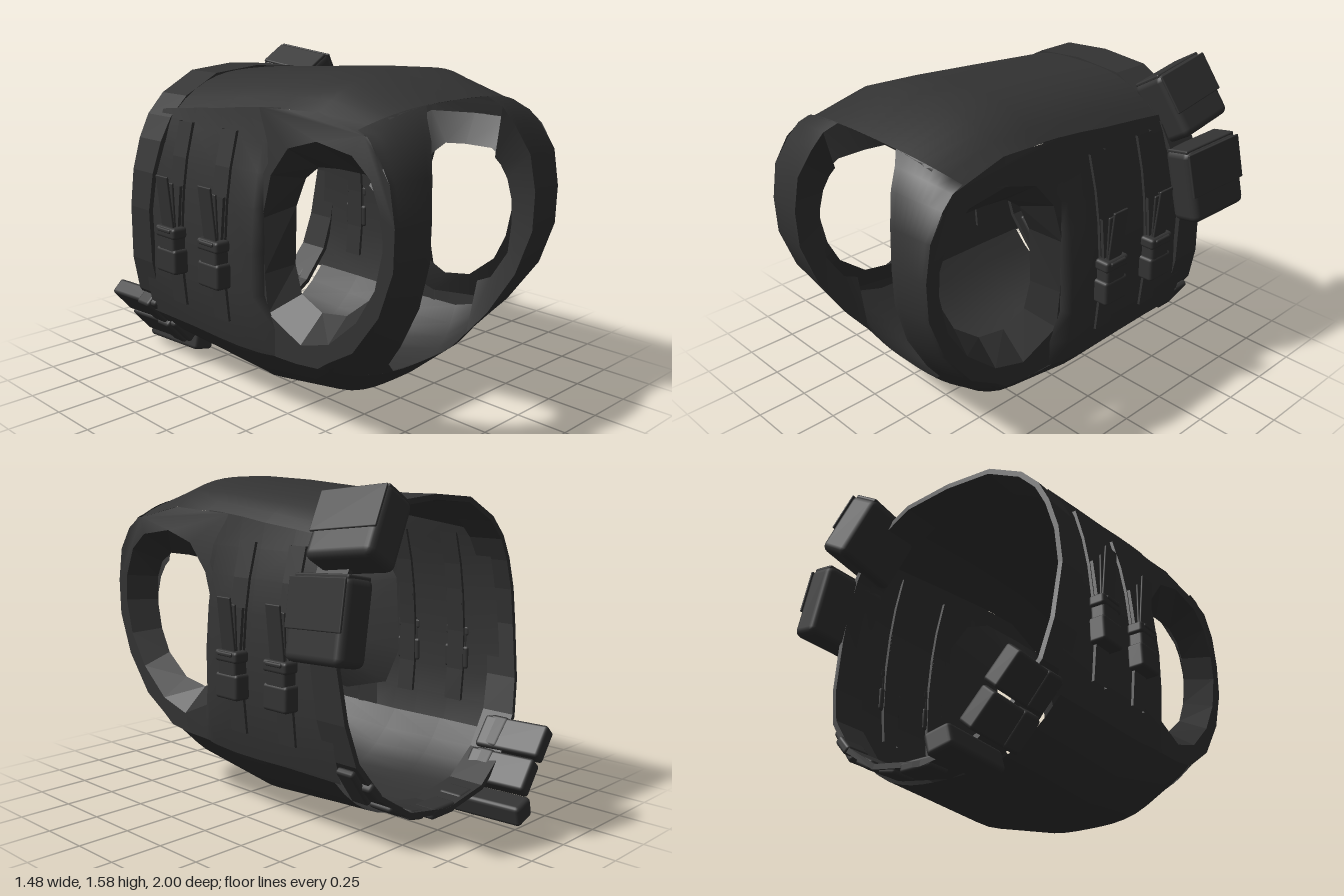
import * as THREE from 'three';
import { RoundedBoxGeometry } from 'three/addons/geometries/RoundedBoxGeometry.js';

const V = (x, y, z) => new THREE.Vector3(x, y, z);

// Surface through rows of points
function grid(rows, flat = false) {
  const n = rows[0].length, index = [];
  for (let r = 0; r < rows.length - 1; r++) {
    for (let c = 0; c < n - 1; c++) {
      const a = r * n + c, b = a + 1, d = a + n, e = d + 1;
      index.push(a, d, b, b, d, e);
    }
  }
  let geo = new THREE.BufferGeometry().setFromPoints(rows.flat());
  geo.setIndex(index);
  if (flat) geo = geo.toNonIndexed();
  geo.computeVertexNormals();
  return geo;
}

// Shell centre line over the shoulders: z, y, outer half width, edge drop, neck half width
const PROFILE = [
  [-0.62, 1.5, 0.5, 0.18, 0], [-0.1, 1.54, 0.5, 0.155, 0], [0.3, 1.57, 0.5, 0.14, 0],
  [0.55, 1.58, 0.51, 0.14, 0], [0.83, 1.475, 0.53, 0.1, 0], [0.83, 1.475, 0.53, 0.1, 0.2],
  [0.88, 1.43, 0.535, 0.08, 0.25], [0.93, 1.35, 0.54, 0.06, 0.28], [0.98, 1.22, 0.55, 0.03, 0.33],
  [1, 1.05, 0.55, 0.02, 0.35], [0.995, 0.87, 0.55, 0.02, 0.35], [0.93, 0.66, 0.55, 0.03, 0.33],
  [0.81, 0.45, 0.55, 0.06, 0.3], [0.72, 0.33, 0.55, 0.12, 0.27], [0.68, 0.27, 0.55, 0.15, 0.2],
  [0.68, 0.27, 0.55, 0.15, 0], [0.5, 0.12, 0.55, 0.23, 0], [0.05, 0.036, 0.56, 0.29, 0],
  [-0.3, 0.06, 0.56, 0.27, 0], [-0.59, 0.08, 0.56, 0.25, 0],
];
// Armhole outlines (z, y)
const HOLE_IN = [[0.83, 0.95], [0.82, 1.07], [0.78, 1.15], [0.7, 1.2], [0.55, 1.2], [0.43, 1.19], [0.35, 1.13],
  [0.29, 1], [0.28, 0.73], [0.32, 0.6], [0.45, 0.545], [0.6, 0.57], [0.74, 0.68], [0.8, 0.8]];
const HOLE_OUT = [[0.92, 0.95], [0.91, 1.08], [0.85, 1.22], [0.75, 1.3], [0.55, 1.33], [0.38, 1.28], [0.27, 1.15],
  [0.21, 0.95], [0.22, 0.7], [0.24, 0.52], [0.45, 0.43], [0.62, 0.48], [0.78, 0.62], [0.88, 0.78]];
// Side panel section (y, half width)
const SIDE = [[1.4, 0.502], [1.28, 0.53], [1.15, 0.565], [1, 0.59], [0.8, 0.608], [0.6, 0.608], [0.45, 0.595], [0.32, 0.563]];
// Side panel stations (z, top y, bottom y, backward lean)
const STATIONS = [[0.218, 1.435, 0.33, 0], [0.2, 1.43, 0.325, 0], [0.05, 1.415, 0.315, 0],
  [-0.1, 1.395, 0.315, 0], [-0.3, 1.375, 0.32, 0], [-0.56, 1.345, 0.32, 0.06]];
// Belt half section (half width, y)
const BELT = [[0, 1.52], [0.25, 1.5], [0.43, 1.405], [0.52, 1.31], [0.575, 1.2], [0.62, 1.05], [0.64, 0.87],
  [0.62, 0.6], [0.575, 0.42], [0.45, 0.25], [0.27, 0.13], [0, 0.085]];

function sideX(y) {
  for (let i = 0; i < SIDE.length - 1; i++) {
    const [y0, x0] = SIDE[i], [y1, x1] = SIDE[i + 1];
    if (y >= y1) return x0 + (x1 - x0) * Math.max(0, (y0 - y) / (y0 - y1));
  }
  return 0.56;
}

// Point on the shell at half width x, bent inward towards its edge
function shellPoint(i, x, side) {
  const [z, y, w, drop] = PROFILE[i];
  const p = PROFILE[Math.max(0, i - 1)], q = PROFILE[Math.min(PROFILE.length - 1, i + 1)];
  const tz = q[0] - p[0], ty = q[1] - p[1], l = Math.hypot(tz, ty);
  const d = drop * (x / w) ** 3;
  return V(side * x, y - (tz / l) * d, z + (ty / l) * d);
}

export function createModel() {
  const fabric = new THREE.MeshStandardMaterial({ color: 0x333333, side: THREE.DoubleSide });
  fabric.name = 'dark fabric';
  const root = new THREE.Group();
  const vest = new THREE.Group();
  vest.name = 'vest';
  vest.position.x = -0.05;
  root.add(vest);

  const add = (name, geo, pos, rotZ = 0, parent = vest) => {
    const m = new THREE.Mesh(geo, fabric);
    m.name = name;
    if (pos) m.position.set(...pos);
    m.rotation.z = rotZ;
    parent.add(m);
    return m;
  };
  const box = (w, h, d, r = 0.015) => new RoundedBoxGeometry(w, h, d, 2, r);

  for (const s of [1, -1]) {
    const side = s > 0 ? 'left' : 'right';

    // Top panel, shoulder strap and bottom panel in one sheet
    add(side + 'Shell', grid(PROFILE.map(([, , w, , xin], i) =>
      Array.from({ length: 9 }, (_, k) => shellPoint(i, xin + (w - xin) * k / 8, s)))));

    // Flat side wall around the armhole
    const edge = PROFILE.map((p, i) => shellPoint(i, p[2], s)).slice(2, 17).filter((p, i) => i !== 3 && i !== 13);
    const shape = new THREE.Shape([[0.15, 1.425], ...edge.map(p => [p.z, p.y]), [0.15, 0.33]].map(p => new THREE.Vector2(...p)));
    shape.holes.push(new THREE.Path(HOLE_OUT.map(p => new THREE.Vector2(...p))));
    const wall = new THREE.ShapeGeometry(shape);
    const pos = wall.attributes.position;
    for (let i = 0; i < pos.count; i++) {
      const z = pos.getX(i), y = pos.getY(i);
      const x = y > 1.34 ? (z > 0.7 ? 0.53 : 0.503) : 0.55;
      pos.setXYZ(i, s * x, y, z);
    }
    wall.computeVertexNormals();
    add(side + 'SideWall', wall);

    // Bevelled armhole rim and the lining behind it
    const loop = (pts, x) => [...pts, pts[0]].map(([z, y]) => V(s * x, y, z));
    const lining = HOLE_IN.map(([z, y]) => [0.555 + (z - 0.555) * (z > 0.555 ? 1.25 : 2.2), 0.87 + (y - 0.87) * 1.42]);
    add(side + 'ArmholeRim', grid([loop(HOLE_OUT, 0.55), loop(HOLE_IN, 0.42)], true));
    add(side + 'ArmholeLining', grid([loop(HOLE_IN, 0.42), loop(lining, 0.49)]));

    // Inner face of the shoulder strap
    const inner = [];
    for (let i = 6; i <= 13; i++) {
      const p = shellPoint(i, PROFILE[i][4], s);
      const dz = p.z - 0.555, dy = p.y - 0.87;
      const t = 1 / Math.pow((Math.abs(dz) / 0.275) ** 2.5 + (Math.abs(dy) / 0.33) ** 2.5, 0.4);
      inner.push([p, V(s * 0.42, 0.87 + dy * t, 0.555 + dz * t)]);
    }
    add(side + 'StrapLining', grid(inner));

    // Bulging side panel running from the armhole to under the belt
    add(side + 'SidePanel', grid(STATIONS.map(([z, top, bottom, lean], r) =>
      SIDE.map(([y, x], k) => {
        const py = k === 0 ? top : k === SIDE.length - 1 ? bottom : y;
        const tuck = r === 0 && Math.abs(py - 0.87) > 0.4 ? 0.07 : 0;
        return V(s * (r ? x : Math.min(x, 0.547)), py, z + tuck - lean * (1.43 - py));
      }))));

    // Webbing with buckles and loose strap ends, running through the panel
    for (const z of [-0.022, -0.342]) {
      const ribbon = (ys, w, o) => grid(ys.map(y => [[-0.015, -w], [o, -w], [o, w], [-0.015, w], [-0.015, -w]].map(([dx, dz]) =>
        V(s * (sideX(y) + dx), y, z + dz))), true);
      add(side + 'Webbing', ribbon([1.31, 1.15, 1, 0.8, 0.6, 0.44], 0.05, 0.014));
      add(side + 'WebbingLayer', ribbon([1.02, 0.9, 0.8], 0.045, 0.03));
      add(side + 'BuckleBody', box(0.085, 0.12, 0.15), [s * 0.64, 0.665, z], s * 0.03);
      add(side + 'BuckleNeck', box(0.075, 0.12, 0.125), [s * 0.64, 0.75, z]);
      add(side + 'BuckleFrame', box(0.08, 0.055, 0.15), [s * 0.643, 0.803, z]);
      add(side + 'BuckleBar', box(0.06, 0.02, 0.1, 0.008), [s * 0.66, 0.815, z]);
      add(side + 'LooseStrap', box(0.012, 0.26, 0.09, 0.005), [s * 0.67, 0.945, z], s * -0.1);
      add(side + 'LooseStrapFold', box(0.012, 0.22, 0.085, 0.005), [s * 0.65, 0.93, z], s * -0.02);
    }
  }

  // Waist belt, leaning backwards towards the bottom
  const ring = [...BELT, ...BELT.slice(1, -1).reverse().map(([x, y]) => [-x, y]), BELT[0]];
  const beltRow = (front, k) => ring.map(([x, y]) => V(x * k, 0.8 + (y - 0.8) * k,
    front ? -0.465 - (1.5 - y) * 0.083 : -0.665 - Math.max(0, 0.9 - y) * 0.13));
  add('waistBelt', grid([beltRow(true, 0.97), beltRow(true, 1.005), beltRow(false, 1.005), beltRow(false, 0.97), beltRow(true, 0.97)], true));

  // Buckle and strap loops along the lower belt
  add('beltBuckle', box(0.17, 0.05, 0.12), [0.03, 0.1, -0.71]);
  for (const [x, y, r] of [[-0.16, 0.115, -0.15], [0.2, 0.12, 0.2], [0.34, 0.18, 0.5], [0.48, 0.29, 0.85]]) {
    add('beltLoop', box(0.1, 0.045, 0.13), [x, y, -0.69], r);
  }
  add('beltTab', box(0.035, 0.2, 0.1), [0.52, 0.31, -0.66], -0.6);

  // Two large pouches on the upper left of the belt: x, y, length, thickness, then tilts
  for (const [x, y, h, t, pitch, yaw, roll] of [
    [0.497, 1.388, 0.32, 0.19, 0.13, 0, 0.55], [0.673, 1.04, 0.36, 0.155, 0.05, -0.1, 0.2]]) {
    const pouch = new THREE.Group();
    pouch.name = 'beltPouch';
    pouch.position.set(x, y, -0.655);
    pouch.rotation.set(pitch, yaw, roll, 'ZYX');
    vest.add(pouch);
    add('pouchBody', box(t, h, 0.35, 0.035), [0, 0, 0], 0, pouch);
    add('pouchFlap', box(0.012, h * 0.6, 0.345, 0.005), [t / 2, h * 0.17, 0], 0, pouch);
    add('pouchLid', box(t * 0.8, 0.02, 0.33, 0.008), [0, h / 2 - 0.005, 0], 0, pouch);
  }

  // Narrow holders pointing back from the lower right of the belt
  for (const [x, y] of [[-0.52, 0.325], [-0.405, 0.185]]) {
    add('doubleHolder', box(0.085, 0.17, 0.34), [x, y, -0.765], 0.72).rotation.y = 0.09;
    add('holderBand', box(0.1, 0.17, 0.1), [x, y, -0.67], 0.72);
  }
  add('singleHolder', box(0.125, 0.1, 0.375, 0.02), [-0.27, 0.068, -0.81], -0.25).rotation.y = 0.08;
  return root;
}
